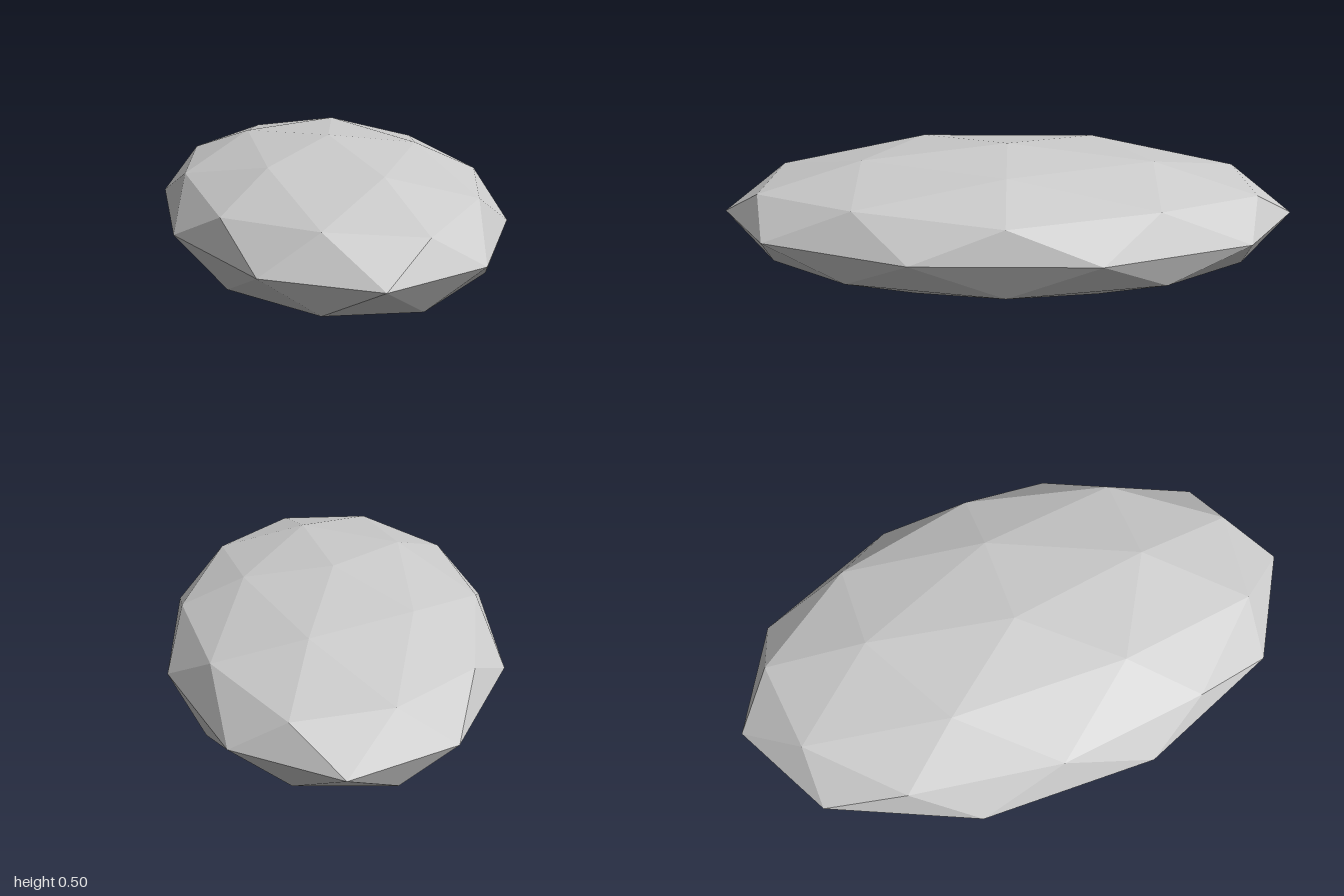
import * as THREE from 'three';

export function createModel() {
  const group = new THREE.Group();
  group.name = 'facetedStone';

  const stoneGrey = new THREE.MeshStandardMaterial({ color: 0xcccccc, flatShading: true });
  stoneGrey.name = 'stoneGrey';

  // Icosphere turned so one five-fold vertex points up and its first neighbour faces +x
  const geometry = new THREE.IcosahedronGeometry(1, 1);
  geometry.rotateX(-Math.atan((1 + Math.sqrt(5)) / 2));
  geometry.rotateY(Math.PI / 2);

  // Flatten into a long, low pebble resting on y = 0
  geometry.scale(0.59, 0.25, 1);
  geometry.translate(0, 0.25, 0);
  geometry.computeVertexNormals();

  const stone = new THREE.Mesh(geometry, stoneGrey);
  stone.name = 'stone';
  group.add(stone);
  return group;
}
